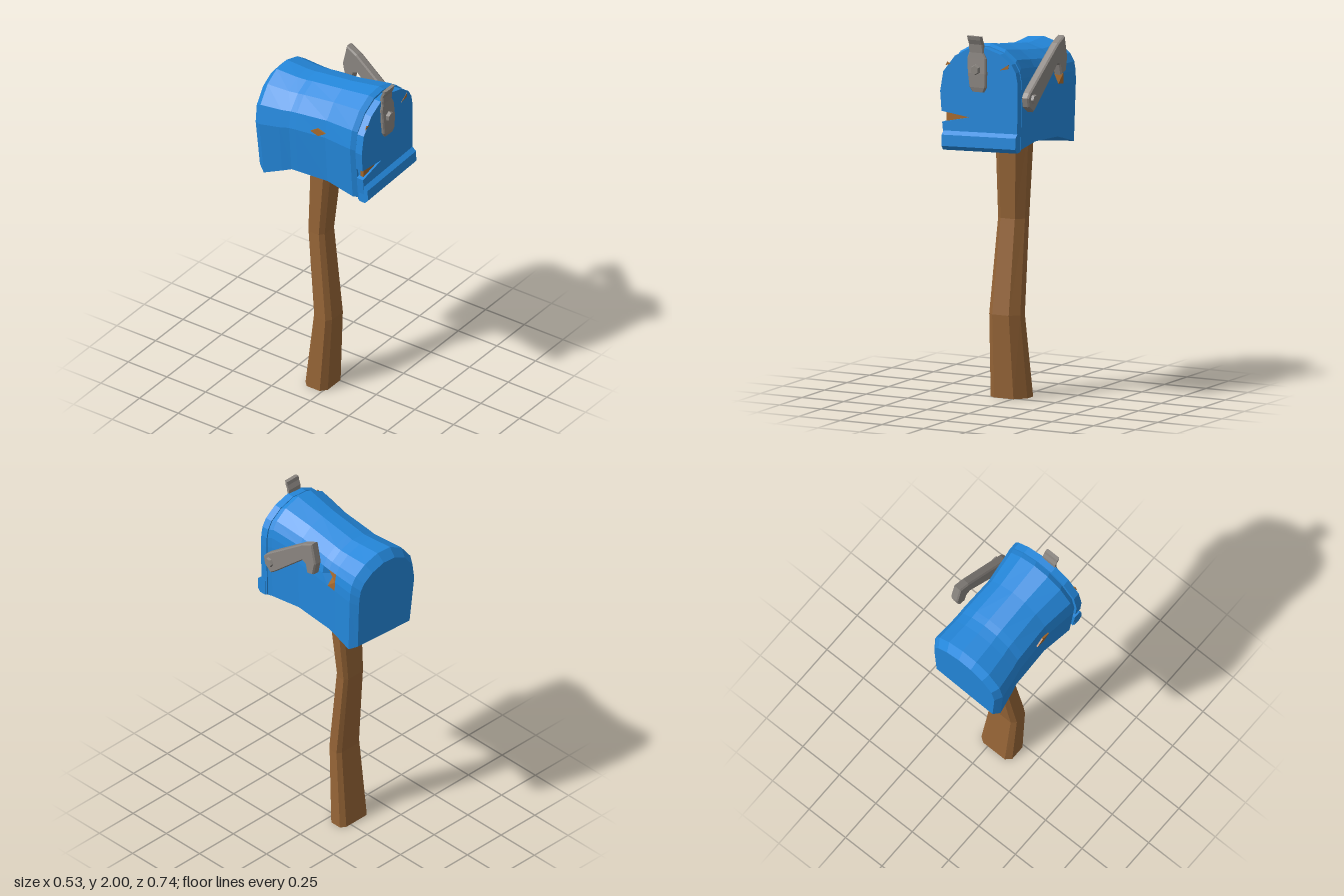
import * as THREE from 'three';

const material = (name, color) => {
  const m = new THREE.MeshStandardMaterial({ color });
  m.name = name;
  return m;
};

// Flat-faced skin over rings of points, closed at both ends.
// Rings run anticlockwise when seen from the last ring's side.
function loft(rings, isTorn = () => false) {
  const buckets = [[], []];
  const tri = (k, ...pts) => pts.forEach(p => buckets[k].push(...p));
  const n = rings[0].length;
  for (let i = 0; i < rings.length - 1; i++) {
    for (let j = 0; j < n; j++) {
      const k = (j + 1) % n;
      const a = rings[i][j], b = rings[i][k], c = rings[i + 1][k], d = rings[i + 1][j];
      const t = isTorn(i, j) ? 1 : 0;
      // the torn patch is split the other way so that it forms a diamond
      if (t && isTorn(i, j + 1)) {
        tri(1, a, b, d);
        tri(1, b, c, d);
      } else {
        tri(t, a, b, c);
        tri(t, a, c, d);
      }
    }
  }
  const first = rings[0], last = rings[rings.length - 1];
  for (let j = 1; j < n - 1; j++) {
    tri(0, first[0], first[j + 1], first[j]);
    tri(0, last[0], last[j], last[j + 1]);
  }
  const g = new THREE.BufferGeometry();
  g.setAttribute('position', new THREE.Float32BufferAttribute(buckets.flat(), 3));
  g.addGroup(0, buckets[0].length / 3, 0);
  if (buckets[1].length) g.addGroup(buckets[0].length / 3, buckets[1].length / 3, 1);
  g.computeVertexNormals();
  return g;
}

// Arched outline, u across (-1..1) and v up (0..1)
const ARCH = [
  [-0.89, 0], [0.98, 0], [1, 0.58], [0.99, 0.69], [0.95, 0.78], [0.84, 0.86],
  [0.55, 0.95], [0.15, 1], [-0.25, 0.985], [-0.62, 0.9], [-0.92, 0.74], [-1, 0.55],
];
const DENT_POINT = 3;
const archPoint = ([u, v], xl, xr, yb, yt, roll) =>
  [(xl + xr) / 2 + (u * (xr - xl)) / 2, yb + v * (yt - yb) + roll * u * (1 - v)];

export function createModel() {
  const blue = material('blue paint', 0x2488dc);
  const wood = material('post wood', 0x956436);
  const torn = material('torn edge', 0xa5692c);
  const metal = material('grey metal', 0x8a8580);

  const model = new THREE.Group();
  model.name = 'mailbox';
  const add = (name, geometry, mat, parent = model) => {
    const mesh = new THREE.Mesh(geometry, mat);
    mesh.name = name;
    parent.add(mesh);
    return mesh;
  };

  // Crooked post: y, left, right, back, front
  const post = [
    [0, -0.145, 0.06, -0.125, 0.015],
    [0.45, -0.137, 0.037, -0.072, 0.04],
    [0.96, -0.115, 0.035, -0.122, -0.02],
    [1.43, -0.113, 0.072, -0.11, 0.02],
  ].map(([y, l, r, b, f]) => [
    [0.17, 1], [0.74, 1], [1, 0.6], [1, 0.14], [0.86, 0], [0.14, 0], [0, 0.2], [0, 0.8],
  ].map(([s, t]) => [l + s * (r - l), y, b + t * (f - b)]));
  add('post', loft(post), wood);

  // Pinched box body from back to front: z, left, right, bottom, top, roll
  const DENT_STATION = 3;
  const body = [
    [-0.37, -0.24, 0.17, 1.36, 1.85, 0.015],
    [-0.33, -0.265, 0.2, 1.335, 1.895, 0.017],
    [-0.2, -0.25, 0.192, 1.375, 1.888, 0.01],
    [-0.145, -0.24, 0.19, 1.395, 1.888, 0.005],
    [-0.105, -0.24, 0.19, 1.398, 1.895, 0.005],
    [0.085, -0.235, 0.18, 1.405, 1.92, 0.005],
    [0.265, -0.262, 0.2, 1.392, 1.952, 0.007],
    [0.292, -0.248, 0.206, 1.39, 1.94, 0.007],
    [0.292, -0.235, 0.19, 1.4, 1.915, 0.007],
    [0.32, -0.235, 0.19, 1.4, 1.915, 0.007],
  ].map(([z, ...size], i) => ARCH.map((p, j) => {
    const [x, y] = archPoint(p, ...size);
    const dent = i === DENT_STATION && j === DENT_POINT ? 0.05 : 0;
    return [x - dent, y, z + (i < 2 ? 0.022 * (1 - p[1]) : 0)];
  }));
  const isTorn = (i, j) =>
    i === DENT_STATION - 1 && (j === DENT_POINT - 1 || j === DENT_POINT);
  add('body', loft(body, isTorn), [blue, torn]);

  // Small tear on the other side of the body
  const tear = new THREE.Shape([[-0.005, 1.7], [0.045, 1.685], [0.09, 1.715], [0.04, 1.73]]
    .map(([z, y]) => new THREE.Vector2(z, y)));
  const tearGeo = new THREE.ExtrudeGeometry(tear, { depth: 0.008, bevelEnabled: false });
  tearGeo.rotateY(-Math.PI / 2);
  add('sideTear', tearGeo, torn).position.x = -0.234;

  // Door with a split in its edge
  const outline = ARCH.map(p => archPoint(p, -0.258, 0.207, 1.385, 1.937, 0.008));
  outline.push([-0.25, 1.578], [-0.08, 1.557], [-0.246, 1.52]);
  const doorShape = new THREE.Shape(outline.map(p => new THREE.Vector2(...p)));
  const doorGeo = new THREE.ExtrudeGeometry(doorShape, { depth: 0.041, bevelEnabled: false });
  add('door', doorGeo, blue).position.z = 0.298;
  const split = add('doorSplit', new THREE.BoxGeometry(0.155, 0.075, 0.02), torn);
  split.position.set(-0.148, 1.548, 0.317);

  // Chips near the door's upper corners
  [[[0.1, 1.825], [0.15, 1.835], [0.155, 1.86]], [[-0.225, 1.825], [-0.195, 1.835], [-0.215, 1.845]]]
    .forEach(points => {
      const chip = new THREE.Shape(points.map(p => new THREE.Vector2(...p)));
      add('doorChip', new THREE.ExtrudeGeometry(chip, { depth: 0.004, bevelEnabled: false }), torn)
        .position.z = 0.337;
    });

  // Folded lip along the foot of the door
  const lip = [[-0.237, 0], [0.206, 0.016]].map(([x, dy]) => [
    [0.305, 1.375], [0.305, 1.465], [0.338, 1.475], [0.362, 1.455], [0.364, 1.395], [0.345, 1.372],
  ].map(([z, y]) => [x, y + dy, z]));
  add('doorLip', loft(lip), blue);

  // Bent latch strap: y, front z, left, right
  const latch = new THREE.Group();
  latch.name = 'latch';
  model.add(latch);
  const strap = [
    [1.7, 0.352, -0.06, 0.008],
    [1.725, 0.357, -0.075, 0.022],
    [1.8, 0.358, -0.085, 0.025],
    [1.88, 0.352, -0.09, 0.022],
    [1.91, 0.35, -0.08, 0.006],
    [1.955, 0.354, -0.08, 0.004],
    [1.98, 0.366, -0.082, 0.003],
    [2, 0.371, -0.083, 0.002],
  ].map(([y, z, l, r]) => [
    [l + 0.006, y, z], [r - 0.006, y, z], [r, y, z - 0.006],
    [r, y, z - 0.02], [l, y, z - 0.02], [l, y, z - 0.006],
  ]);
  add('strap', loft(strap), metal, latch);
  const bolt = (name, radius, depth, parent) => {
    const g = new THREE.CylinderGeometry(radius * 0.8, radius, depth, 6).toNonIndexed();
    g.computeVertexNormals();
    return add(name, g, metal, parent);
  };
  const latchBolt = bolt('latchBolt', 0.03, 0.02, latch);
  latchBolt.rotation.x = Math.PI / 2;
  latchBolt.position.set(-0.035, 1.82, 0.363);

  // Signal flag with a hooked end: z, y
  const flag = new THREE.Group();
  flag.name = 'flag';
  model.add(flag);
  const flagShape = new THREE.Shape([
    [0.26, 1.697], [-0.03, 1.92], [-0.09, 1.95], [-0.115, 1.84], [-0.1, 1.77], [-0.064, 1.757],
    [-0.05, 1.81], [-0.02, 1.822], [0.195, 1.628], [0.228, 1.602], [0.27, 1.632], [0.279, 1.675],
  ].map(([z, y]) => new THREE.Vector2(-z, y)));
  const flagGeo = new THREE.ExtrudeGeometry(flagShape, {
    depth: 0.03, bevelThickness: 0.009, bevelSize: 0.006, bevelSegments: 1,
  });
  flagGeo.rotateY(Math.PI / 2);
  add('flagArm', flagGeo, metal, flag);
  const pivot = bolt('flagBolt', 0.03, 0.02, flag);
  pivot.rotation.z = -Math.PI / 2;
  pivot.position.set(0.043, 1.665, 0.232);
  const axle = bolt('flagAxle', 0.025, 0.04, flag);
  axle.rotation.z = -Math.PI / 2;
  axle.position.set(-0.015, 1.665, 0.232);
  flag.position.x = 0.216;
  flag.rotation.y = -0.045;

  return model;
}
